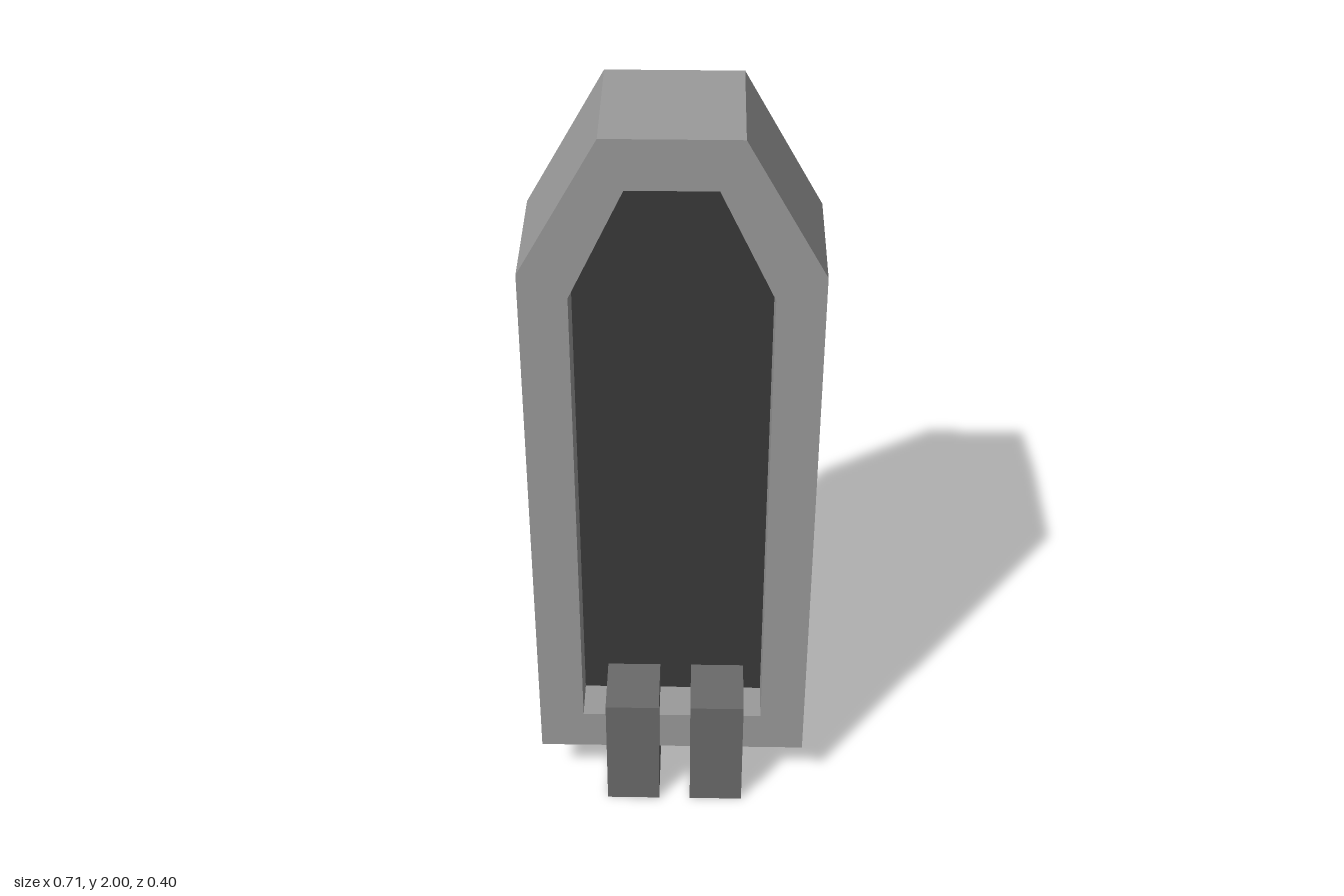
import * as THREE from 'three';

const shellGrey = new THREE.MeshStandardMaterial({ color: 0x9a9a9a, side: THREE.DoubleSide, flatShading: true });
shellGrey.name = 'shell grey';
const panelDark = new THREE.MeshStandardMaterial({ color: 0x393939, side: THREE.DoubleSide, flatShading: true });
panelDark.name = 'panel charcoal';
const footGrey = new THREE.MeshStandardMaterial({ color: 0x6a6a6a, flatShading: true });
footGrey.name = 'foot grey';

const FRONT = 0.14, BACK = -0.2, PANEL = 0.03;

// Counter-clockwise outline: straight sides with chamfered shoulders
function outline(half, bottom, shoulder, topHalf, top) {
  return [[-half, bottom], [half, bottom], [half, shoulder], [topHalf, top], [-topHalf, top], [-half, shoulder]]
    .map(([x, y]) => new THREE.Vector2(x, y));
}

// Thin wall that sweeps an outline from zBack to zFront, open at both ends
function wall(points, zBack, zFront, inward) {
  const pos = [];
  points.forEach((a, i) => {
    const b = points[(i + 1) % points.length];
    const [p, q] = inward ? [b, a] : [a, b];
    pos.push(p.x, p.y, zBack, q.x, q.y, zBack, q.x, q.y, zFront);
    pos.push(p.x, p.y, zBack, q.x, q.y, zFront, p.x, p.y, zFront);
  });
  const g = new THREE.BufferGeometry();
  g.setAttribute('position', new THREE.Float32BufferAttribute(pos, 3));
  g.computeVertexNormals();
  return g;
}

export function createModel() {
  const group = new THREE.Group();
  group.name = 'uprightShell';
  const add = (name, geometry, material, x = 0, y = 0, z = 0) => {
    const mesh = new THREE.Mesh(geometry, material);
    mesh.name = name;
    mesh.position.set(x, y, z);
    group.add(mesh);
  };

  const outer = outline(0.357, 0.142, 1.652, 0.163, 2);
  const inner = outline(0.24, 0.26, 1.59, 0.107, 1.873);

  // Hollow shell, open at the back
  add('outerWall', wall(outer, BACK, FRONT, false), shellGrey);

  // Front frame around the recess
  const frame = new THREE.Shape(outer);
  frame.holes.push(new THREE.Path(inner));
  add('frontFrame', new THREE.ShapeGeometry(frame), shellGrey, 0, 0, FRONT);

  // Recess leading back to the dark panel
  add('recessWall', wall(inner, PANEL, FRONT, true), shellGrey);
  add('recessPanel', new THREE.ShapeGeometry(new THREE.Shape(inner)), panelDark, 0, 0, PANEL);

  // Two block feet running through the bottom of the shell
  for (const [name, x] of [['rightFoot', -0.105], ['leftFoot', 0.121]]) {
    add(name, new THREE.BoxGeometry(0.142, 0.344, 0.29), footGrey, x, 0.172, 0.055);
  }
  return group;
}
